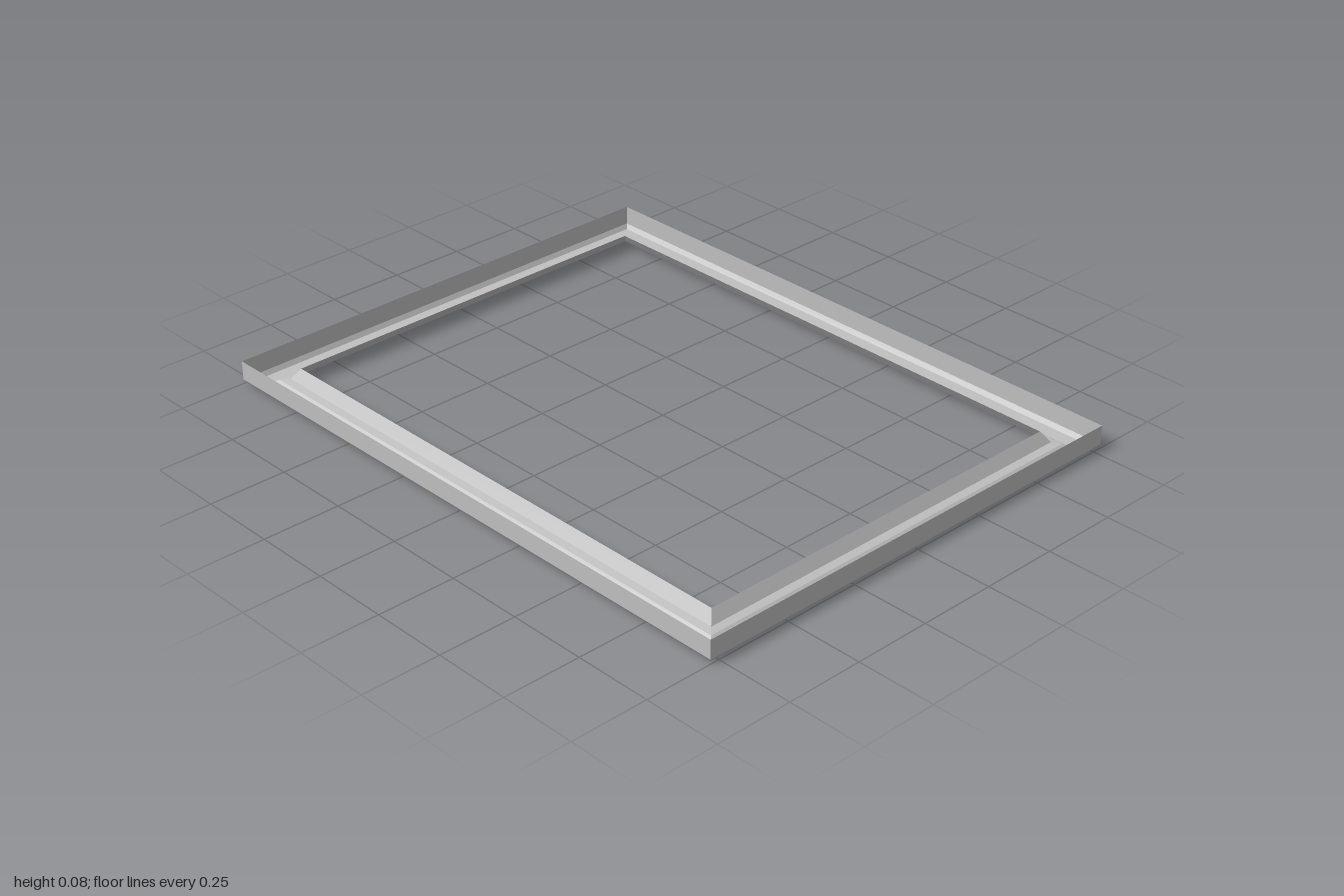
import * as THREE from 'three';

const HALF_X = 0.78, HALF_Z = 1.0;

// Moulding cross-section: [inset from the outer edge, height]
const PROFILE = [
  [0, 0.075],
  [0, 0.014],
  [0.01, 0],
  [0.056, 0],
  [0.076, 0.014],
  [0.1, 0.018],
  [0.124, 0.053],
];

// One mitred side: the profile stretched between two corner directions
function mitredSide(a, b) {
  const at = ([sx, sz], [inset, y]) => [sx * (HALF_X - inset), y, sz * (HALF_Z - inset)];
  const pos = [];
  for (let i = 0; i < PROFILE.length - 1; i++) {
    const p = PROFILE[i], q = PROFILE[i + 1];
    const a0 = at(a, p), b0 = at(b, p), a1 = at(a, q), b1 = at(b, q);
    pos.push(...a0, ...a1, ...b1, ...a0, ...b1, ...b0);
  }
  const geo = new THREE.BufferGeometry();
  geo.setAttribute('position', new THREE.Float32BufferAttribute(pos, 3));
  geo.computeVertexNormals();
  return geo;
}

export function createModel() {
  const group = new THREE.Group();
  group.name = 'frame';
  const grey = new THREE.MeshStandardMaterial({ color: 0xc0c0c0, side: THREE.DoubleSide, flatShading: true });
  grey.name = 'grey';

  // Four thin shell mouldings meeting at the corners
  const corners = [[-1, 1], [1, 1], [1, -1], [-1, -1]];
  const names = ['frontMoulding', 'leftMoulding', 'backMoulding', 'rightMoulding'];
  names.forEach((name, i) => {
    const mesh = new THREE.Mesh(mitredSide(corners[i], corners[(i + 1) % 4]), grey);
    mesh.name = name;
    group.add(mesh);
  });
  return group;
}
